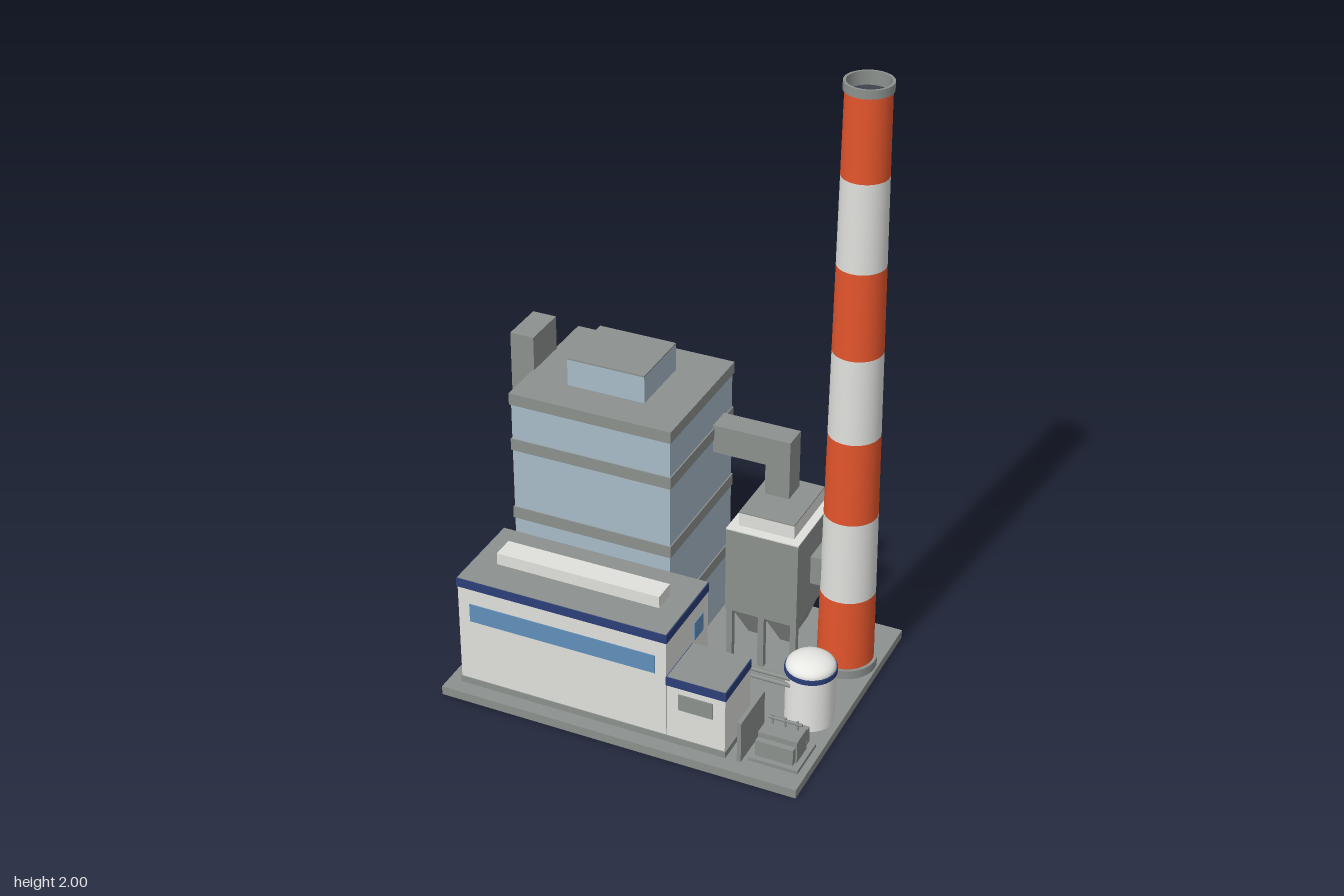
import * as THREE from 'three';

export function createModel() {
  const root = new THREE.Group();
  root.name = 'powerStation';

  const mat = (name, color) => {
    const m = new THREE.MeshStandardMaterial({ color });
    m.name = name;
    return m;
  };
  const grey = mat('concreteGrey', 0x8c918e);
  const pale = mat('paleCladding', 0xe0e0dd);
  const blueGrey = mat('blueGreyCladding', 0xa8bbc8);
  const navy = mat('navyTrim', 0x2b3f78);
  const glass = mat('windowBlue', 0x618fba);
  const orange = mat('warningOrange', 0xe4552c);
  const white = mat('tankWhite', 0xeeeeeb);
  const dark = mat('flueDark', 0x3e434c);

  const group = (name) => {
    const g = new THREE.Group();
    g.name = name;
    root.add(g);
    return g;
  };
  const add = (parent, name, geo, material, x = 0, y = 0, z = 0) => {
    const m = new THREE.Mesh(geo, material);
    m.name = name;
    m.position.set(x, y, z);
    parent.add(m);
    return m;
  };
  // Box given by its extents along each axis
  const box = (parent, name, material, x0, x1, y0, y1, z0, z1) =>
    add(parent, name, new THREE.BoxGeometry(x1 - x0, y1 - y0, z1 - z0), material,
      (x0 + x1) / 2, (y0 + y1) / 2, (z0 + z1) / 2);
  // Upright cylinder given by its bottom and top
  const cyl = (parent, name, material, rBottom, rTop, y0, y1, x, z, open = false, sides = 32) =>
    add(parent, name, new THREE.CylinderGeometry(rTop, rBottom, y1 - y0, sides, 1, open), material,
      x, (y0 + y1) / 2, z);

  const G = 0.03; // ground level
  const S = 0.014; // footings reach through the ground plate

  // Base: thin ground plate with a rim, hollow underneath
  const base = group('base');
  const bx = 0.593, bz = 0.44, w = 0.007;
  box(base, 'groundPlate', grey, -bx, bx, 0.025, G, -bz, bz);
  for (const s of [-1, 1]) {
    add(base, 'rimLong', new THREE.BoxGeometry(2 * bx, 0.025, w), grey, 0, 0.0125, s * (bz - w / 2));
    add(base, 'rimShort', new THREE.BoxGeometry(w, 0.025, 2 * (bz - w)), grey, s * (bx - w / 2), 0.0125, 0);
  }

  // Boiler house with belts, roof and penthouse
  const boiler = group('boilerHouse');
  box(boiler, 'boilerWalls', blueGrey, -0.508, 0.022, G, 0.88, -0.366, 0.088);
  for (const y of [0.225, 0.471, 0.717])
    box(boiler, 'boilerBelt', grey, -0.512, 0.026, y, y + 0.04, -0.37, 0.092);
  box(boiler, 'boilerRoof', grey, -0.513, 0.027, 0.878, 0.917, -0.371, 0.093);
  box(boiler, 'penthouse', blueGrey, -0.374, -0.116, 0.917, 1.006, -0.25, -0.027);
  box(boiler, 'penthouseRoof', grey, -0.374, -0.116, 1.006, 1.011, -0.25, -0.027);
  box(boiler, 'liftTower', grey, -0.587, -0.508, G, 1.03, -0.214, -0.064);

  // Halls: walls, plinth, navy parapet and flat roof
  const hall = (name, x0, x1, top, z0, z1) => {
    const g = group(name);
    const e = 0.003;
    box(g, 'walls', pale, x0, x1, G, top - 0.03, z0, z1);
    box(g, 'plinth', grey, x0 - e, x1 + e, G, G + 0.022, z0, z1 + e);
    box(g, 'parapet', navy, x0 - e, x1 + e, top - 0.032, top - 0.002, z0, z1 + e);
    box(g, 'roof', grey, x0, x1, top - 0.002, top, z0, z1);
    return g;
  };
  const turbine = hall('turbineHall', -0.549, 0.15, 0.42, 0.09, 0.388);
  box(turbine, 'roofLight', pale, -0.472, 0.075, 0.42, 0.46, 0.201, 0.276);
  box(turbine, 'frontWindow', glass, -0.51, 0.114, 0.27, 0.333, 0.387, 0.391);
  box(turbine, 'leftWindow', glass, 0.149, 0.153, 0.27, 0.333, 0.128, 0.19);
  box(turbine, 'rightWindow', glass, -0.552, -0.548, 0.27, 0.333, 0.128, 0.235);
  const annex = hall('annex', 0.153, 0.342, 0.27, 0.203, 0.388);
  box(annex, 'louvre', grey, 0.19, 0.303, 0.16, 0.216, 0.387, 0.392);

  // Dust filter on legs with two hoppers
  const filter = group('dustFilter');
  box(filter, 'filterBody', grey, 0.139, 0.378, 0.22, 0.515, -0.364, -0.064);
  box(filter, 'filterLedge', pale, 0.139, 0.378, 0.515, 0.519, -0.364, -0.064);
  box(filter, 'filterCap', pale, 0.168, 0.351, 0.519, 0.564, -0.338, -0.096);
  box(filter, 'filterCapRoof', grey, 0.168, 0.351, 0.564, 0.568, -0.338, -0.096);
  for (const x of [0.151, 0.258, 0.366])
    for (const z of [-0.348, -0.08])
      box(filter, 'filterLeg', grey, x - 0.01, x + 0.01, S, 0.22, z - 0.01, z + 0.01);
  for (const x of [0.204, 0.312]) {
    const geo = new THREE.BoxGeometry(0.104, 0.12, 0.27);
    const p = geo.attributes.position;
    for (let i = 0; i < p.count; i++)
      if (p.getY(i) < 0) p.setXYZ(i, p.getX(i) * 0.3, p.getY(i), p.getZ(i) * 0.55);
    geo.computeVertexNormals();
    add(filter, 'hopper', geo, grey, x, 0.16, -0.214);
  }

  // Flue ducts
  const ducts = group('flueDucts');
  box(ducts, 'ductAcross', grey, 0.022, 0.279, 0.672, 0.768, -0.306, -0.224);
  box(ducts, 'ductDown', grey, 0.198, 0.279, 0.568, 0.672, -0.306, -0.224);
  box(ducts, 'chimneyDuct', grey, 0.378, 0.425, 0.32, 0.418, -0.262, -0.169);

  // Tapered chimney in seven stripes
  const chimney = group('chimney');
  const cx = 0.487, cz = -0.214, bands = 7, bottom = 0.024, top = 1.996;
  const radius = (t) => 0.09 - 0.022 * t;
  for (let i = 0; i < bands; i++) {
    const a = i / bands, b = (i + 1) / bands;
    cyl(chimney, 'chimneyStripe', i % 2 ? pale : orange, radius(a), radius(b),
      bottom + (top - bottom) * a, bottom + (top - bottom) * b, cx, cz, true);
  }
  cyl(chimney, 'chimneyFoot', grey, 0.1, 0.1, S, 0.06, cx, cz);
  // Rim ring with the inner flue wall and a recessed dark opening
  const ring = [[0.068, 1.973], [0.073, 1.973], [0.073, 2], [0.065, 2], [0.065, 1.955]];
  for (let i = 0; i < ring.length - 1; i++)
    add(chimney, 'chimneyRim',
      new THREE.LatheGeometry(ring.slice(i, i + 2).map(([r, y]) => new THREE.Vector2(r, y)), 32),
      grey, cx, 0, cz);
  cyl(chimney, 'flueOpening', dark, 0.065, 0.065, 1.95, 1.958, cx, cz);

  // Storage tank with domed top
  const tank = group('storageTank');
  const tx = 0.495, tz = 0.098;
  cyl(tank, 'tankWall', white, 0.077, 0.077, S, 0.225, tx, tz);
  cyl(tank, 'tankBand', navy, 0.081, 0.081, 0.206, 0.222, tx, tz);
  const dome = add(tank, 'tankDome',
    new THREE.SphereGeometry(0.077, 32, 8, 0, Math.PI * 2, 0, Math.PI / 2), white, tx, 0.224, tz);
  dome.scale.y = 0.48;
  for (const y of [0.175, 0.2]) {
    const pipe = add(tank, 'pipe', new THREE.CylinderGeometry(0.007, 0.007, 0.31, 12), grey, 0.3, y, 0.159);
    pipe.rotation.z = Math.PI / 2;
  }

  // Transformer and its blast wall
  const trafo = group('transformer');
  box(trafo, 'pad', grey, 0.41, 0.569, S, 0.042, 0.227, 0.371);
  box(trafo, 'transformerBody', grey, 0.426, 0.552, 0.042, 0.117, 0.26, 0.336);
  for (const z of [0.234, 0.343])
    box(trafo, 'radiator', grey, 0.429, 0.55, 0.05, 0.105, z, z + 0.02);
  for (const x of [0.449, 0.489, 0.529])
    cyl(trafo, 'bushing', grey, 0.004, 0.004, 0.117, 0.148, x, 0.278, false, 10);
  const bar = add(trafo, 'busBar', new THREE.CylinderGeometry(0.005, 0.005, 0.11, 8), grey, 0.489, 0.138, 0.278);
  bar.rotation.z = Math.PI / 2;
  box(trafo, 'blastWall', grey, 0.381, 0.394, G, 0.172, 0.212, 0.388);

  return root;
}
